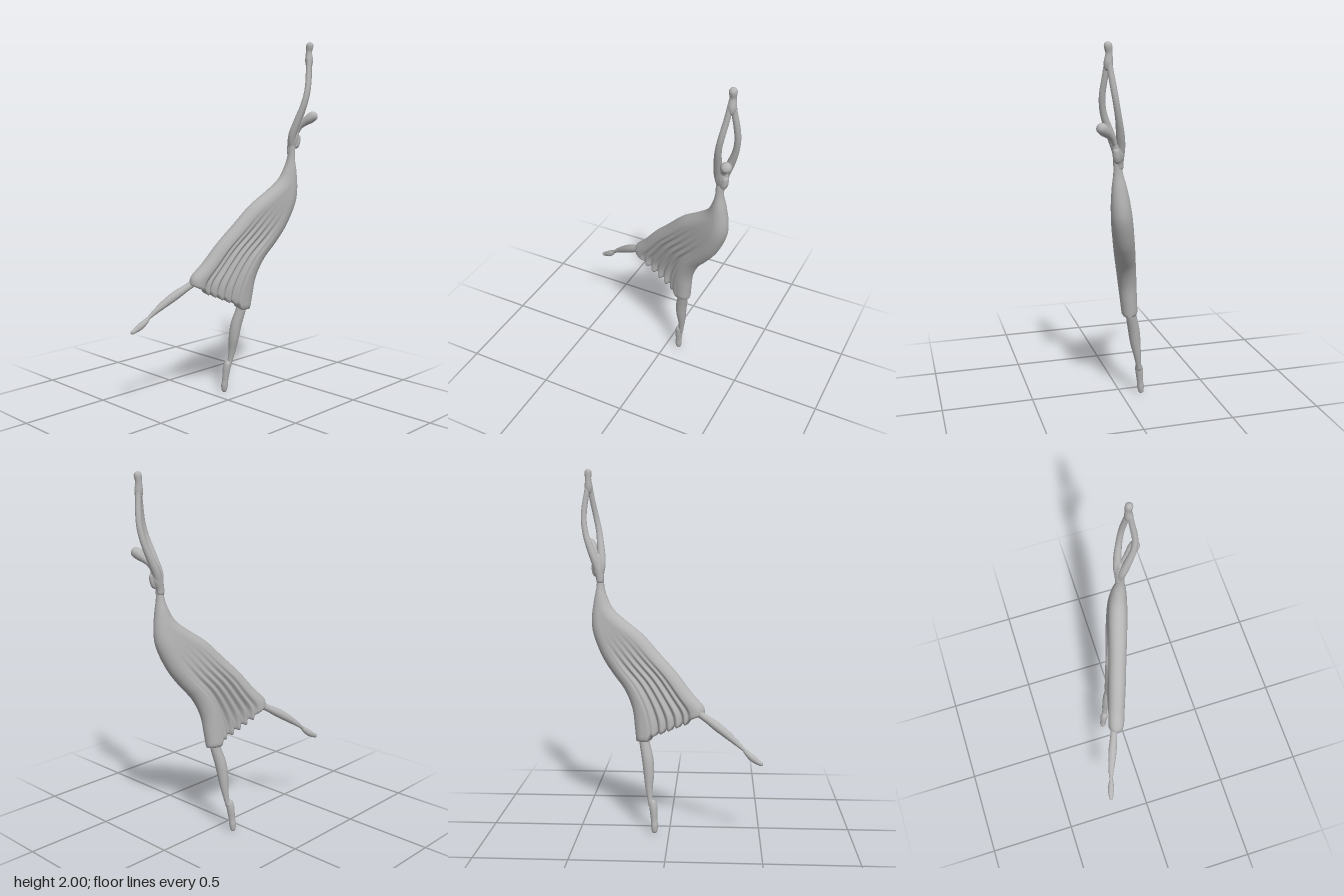
import * as THREE from 'three';
import { mergeVertices } from 'three/addons/utils/BufferGeometryUtils.js';

const smooth = THREE.MathUtils.smoothstep;
const lerp = THREE.MathUtils.lerp;

// Tube along points [x, y, z, radius] with changing radius and rounded ends
function limb(points, segments = 40, sides = 18) {
  const curve = new THREE.CatmullRomCurve3(points.map(p => new THREE.Vector3(p[0], p[1], p[2])));
  const radii = new THREE.CatmullRomCurve3(points.map(p => new THREE.Vector3(p[3], 0, 0)), false, 'catmullrom', 0.5);
  const length = curve.getLength();
  const tube = new THREE.TubeGeometry(curve, segments, 1, sides);
  const pos = tube.attributes.position;
  const v = new THREE.Vector3();
  for (let i = 0; i <= segments; i++) {
    const u = i / segments;
    const center = curve.getPointAt(u);
    const r = radii.getPoint(curve.getUtoTmapping(u)).x;
    const e = Math.min(1, Math.min(u, 1 - u) * length / r);
    const scale = Math.max(r * Math.sqrt(1 - (1 - e) ** 2), 0.0005);
    for (let j = 0; j <= sides; j++) {
      const k = i * (sides + 1) + j;
      v.fromBufferAttribute(pos, k).sub(center).multiplyScalar(scale).add(center);
      pos.setXYZ(k, v.x, v.y, v.z);
    }
  }
  tube.deleteAttribute('uv');
  tube.deleteAttribute('normal');
  const geometry = mergeVertices(tube, 1e-5);
  geometry.computeVertexNormals();
  return geometry;
}

// Dress: left edge x, y; right edge x, y; half thickness at the left and right
const DRESS = [
  [-0.195, 0.685, 0.185, 0.51, 0.043, 0.043],
  [-0.185, 0.73, 0.193, 0.59, 0.045, 0.047],
  [-0.12, 0.80, 0.207, 0.69, 0.046, 0.052],
  [-0.04, 0.90, 0.25, 0.79, 0.047, 0.056],
  [0.055, 1.00, 0.32, 0.88, 0.047, 0.059],
  [0.15, 1.10, 0.38, 0.97, 0.048, 0.060],
  [0.25, 1.175, 0.43, 1.09, 0.049, 0.058],
  [0.32, 1.235, 0.44, 1.18, 0.046, 0.050],
  [0.355, 1.30, 0.428, 1.28, 0.036, 0.038],
  [0.372, 1.36, 0.414, 1.355, 0.024, 0.024],
  [0.376, 1.43, 0.412, 1.43, 0.019, 0.019],
];

function dressGeometry() {
  const track = (a, b) => new THREE.CatmullRomCurve3(
    DRESS.map(r => new THREE.Vector3(r[a], r[b], 0)), false, 'catmullrom', 0.5);
  const left = track(0, 1), right = track(2, 3), thick = track(4, 5);
  const normal = new THREE.Vector3(-0.25, -0.08, 0.96).normalize();
  const N = 80, ROWS = 56;
  const positions = [], index = [];
  for (let j = 0; j <= ROWS; j++) {
    const t = j < 2 ? 0 : (j - 1) / (ROWS - 1);
    const L = left.getPoint(t), R = right.getPoint(t), T = thick.getPoint(t);
    const w = L.distanceTo(R);
    const hem = 1 - smooth(t, 0, 0.12);
    const rim = [0, 0.85][j] ?? 1;
    for (let i = 0; i < 2 * N; i++) {
      const front = i <= N;
      const u = 0.5 - 0.5 * Math.cos(Math.PI * (front ? i : 2 * N - i) / N);
      const half = lerp(T.x, T.y, u);
      const cap = Math.min(1.2 * half, w / 2);
      const e = Math.min(1, Math.min(u, 1 - u) * w / cap);
      // Pleated cloth between the two leg folds
      const mask = smooth(u, 0.16, 0.26) * (1 - smooth(u, 0.7, 0.8));
      const wave = Math.cos((u - 0.2) * Math.PI * 2 * 8.5);
      const pleat = 1 - mask * (1 - smooth(t, 0.1, 0.58)) * (0.38 + 0.27 * wave);
      const h = half * Math.sqrt(1 - (1 - e) ** 2) * pleat * rim * (front ? 1 : -1);
      const x = lerp(L.x, R.x, u);
      const drop = 0.033 * smooth(u, 0.75, 0.82) * (1 - u) / 0.2 + mask * (0.01 - 0.008 * wave);
      const y = lerp(L.y, R.y, u) - drop * hem;
      const z = 0.105 + 0.263 * (x - 0.39) + 0.082 * (y - 1.3);
      positions.push(x + normal.x * h, y + normal.y * h, z + normal.z * h);
    }
  }
  const M = 2 * N;
  for (let j = 0; j < ROWS; j++) {
    for (let i = 0; i < M; i++) {
      const a = j * M + i, b = j * M + (i + 1) % M;
      index.push(a, b, a + M, b, b + M, a + M);
    }
  }
  const geometry = new THREE.BufferGeometry();
  geometry.setAttribute('position', new THREE.Float32BufferAttribute(positions, 3));
  geometry.setIndex(index);
  geometry.computeVertexNormals();
  return geometry;
}

export function createModel() {
  const group = new THREE.Group();
  const grey = new THREE.MeshStandardMaterial({ color: 0xb4b4b4 });
  grey.name = 'grey';
  const add = (name, geometry) => {
    const mesh = new THREE.Mesh(geometry, grey);
    mesh.name = name;
    group.add(mesh);
  };

  add('dress', dressGeometry());

  // Standing leg and pointed foot
  add('standingLeg', limb([
    [0.15, 0.58, -0.02, 0.028], [0.138, 0.50, -0.035, 0.029], [0.12, 0.41, -0.055, 0.032],
    [0.113, 0.33, -0.067, 0.029], [0.112, 0.26, -0.078, 0.021], [0.105, 0.195, -0.088, 0.015],
    [0.096, 0.15, -0.097, 0.016],
  ]));
  add('standingFoot', limb([
    [0.092, 0.195, -0.09, 0.018], [0.087, 0.15, -0.098, 0.022], [0.082, 0.08, -0.105, 0.018],
    [0.08, 0.045, -0.109, 0.019], [0.08, 0.005, -0.112, 0.013],
  ]));

  // Raised leg stretched backwards
  add('raisedLeg', limb([
    [-0.13, 0.71, -0.09, 0.02], [-0.2, 0.668, -0.118, 0.02], [-0.26, 0.63, -0.143, 0.024],
    [-0.32, 0.588, -0.168, 0.021], [-0.375, 0.545, -0.19, 0.014], [-0.405, 0.52, -0.2, 0.010],
    [-0.43, 0.50, -0.208, 0.011],
  ]));
  add('raisedFoot', limb([
    [-0.405, 0.518, -0.2, 0.009], [-0.43, 0.495, -0.208, 0.016], [-0.455, 0.475, -0.217, 0.018],
    [-0.48, 0.459, -0.225, 0.014], [-0.507, 0.445, -0.231, 0.010],
  ]));

  // Chest, neck and head tilted forward
  add('chest', limb([
    [0.393, 1.37, 0.104, 0.02], [0.396, 1.41, 0.106, 0.022], [0.405, 1.45, 0.112, 0.029],
    [0.41, 1.49, 0.118, 0.028], [0.412, 1.54, 0.124, 0.018],
  ]));
  add('bust', limb([
    [0.41, 1.41, 0.118, 0.018], [0.422, 1.445, 0.125, 0.02], [0.428, 1.49, 0.13, 0.016],
  ], 20));
  add('neckAndHead', limb([
    [0.412, 1.49, 0.12, 0.018], [0.425, 1.535, 0.145, 0.017], [0.438, 1.56, 0.17, 0.022],
    [0.452, 1.58, 0.195, 0.028], [0.472, 1.608, 0.228, 0.027],
  ]));

  // Arms curving up to joined hands
  add('rightArm', limb([
    [0.395, 1.41, 0.108, 0.018], [0.386, 1.48, 0.122, 0.022], [0.393, 1.56, 0.152, 0.021],
    [0.407, 1.66, 0.188, 0.017], [0.424, 1.74, 0.198, 0.016], [0.444, 1.84, 0.188, 0.015],
    [0.457, 1.93, 0.178, 0.014],
  ]));
  add('leftArm', limb([
    [0.398, 1.41, 0.104, 0.018], [0.418, 1.49, 0.104, 0.022], [0.445, 1.56, 0.114, 0.021],
    [0.473, 1.64, 0.13, 0.017], [0.486, 1.72, 0.146, 0.016], [0.483, 1.79, 0.158, 0.016],
    [0.471, 1.87, 0.17, 0.015], [0.463, 1.94, 0.177, 0.014],
  ]));
  add('hands', limb([
    [0.46, 1.86, 0.178, 0.016], [0.461, 1.90, 0.177, 0.022], [0.462, 1.945, 0.174, 0.017],
    [0.463, 1.975, 0.178, 0.02], [0.463, 2.0, 0.182, 0.018],
  ]));

  return group;
}
